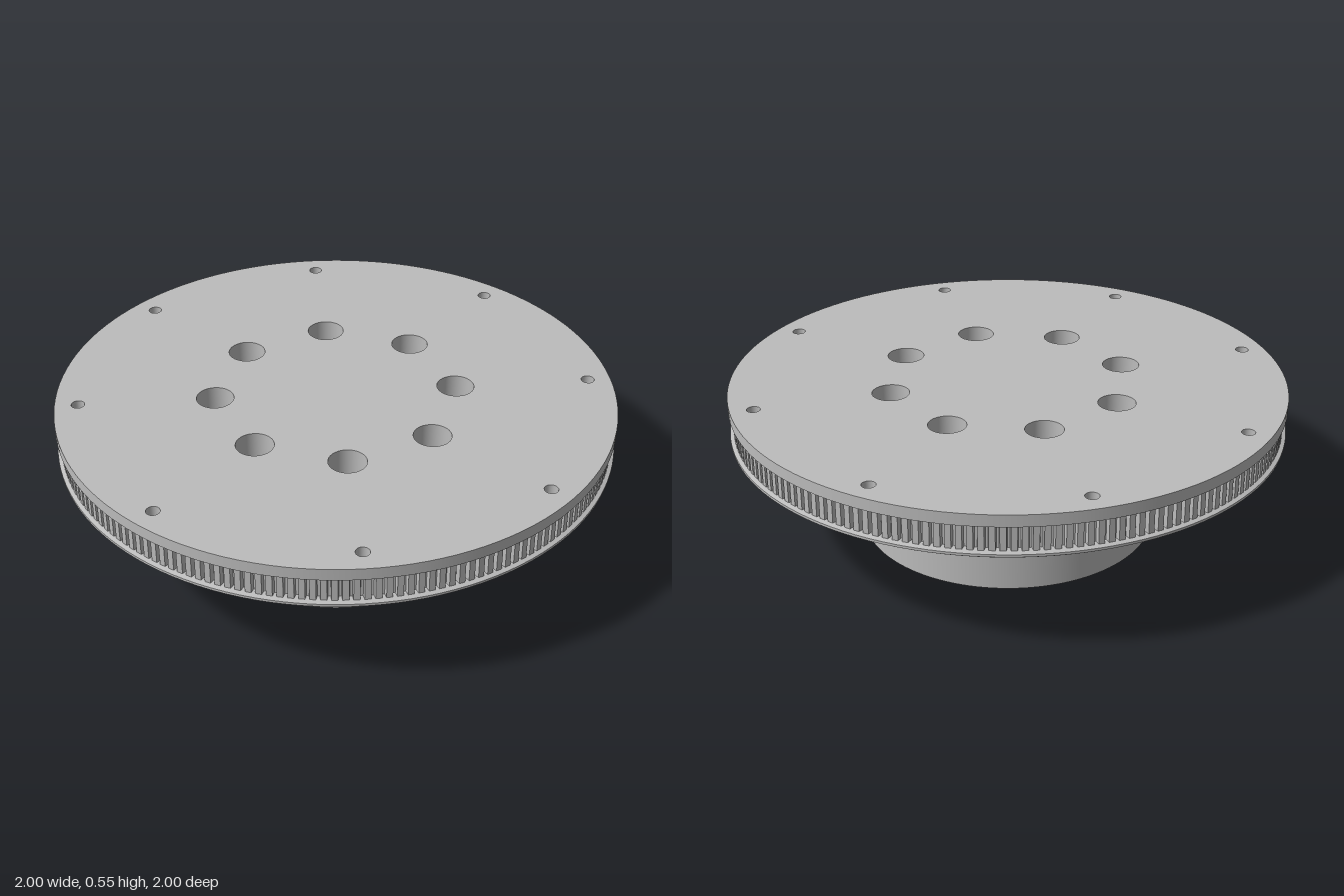
import * as THREE from 'three';
import { mergeGeometries } from 'three/addons/utils/BufferGeometryUtils.js';

const TOP = 0.553, FLANGE = 0.4;
const BOLT = { ring: 0.917, r: 0.024, nut: 0.041, nutTop: 0.47 };
const HUB = { ring: 0.432, r: 0.03, bore: 0.067, boreFloor: 0.27 };

// Eight positions around a bolt circle
const around = (ring) => Array.from({ length: 8 }, (_, i) => {
  const a = (i * Math.PI) / 4;
  return [ring * Math.cos(a), ring * Math.sin(a)];
});

// Regular outline with a corner on the second axis
const outline = (r, n, [cx, cy] = [0, 0]) => Array.from({ length: n }, (_, i) => {
  const a = (i * 2 * Math.PI) / n;
  return new THREE.Vector2(cx + r * Math.sin(a), cy + r * Math.cos(a));
});

// Flat horizontal face with holes, facing up or down
function face(shape, holes, y, up) {
  holes.forEach((h) => shape.holes.push(new THREE.Path(h)));
  return new THREE.ShapeGeometry(shape).rotateX(up ? -Math.PI / 2 : Math.PI / 2).translate(0, y, 0);
}

// Turned surface; each pair of profile points keeps a sharp edge
function turned(profile) {
  const parts = [];
  for (let i = 0; i + 1 < profile.length; i++) {
    const pair = [profile[i], profile[i + 1]].map(([r, y]) => new THREE.Vector2(r, y));
    parts.push(new THREE.LatheGeometry(pair, 128));
  }
  return mergeGeometries(parts);
}

// Open wall of a hole between two heights
function holeWall(r, y0, y1, sides) {
  const g = new THREE.CylinderGeometry(r, r, y1 - y0, sides, 1, true).translate(0, (y0 + y1) / 2, 0);
  if (sides > 6) return g;
  const flat = g.toNonIndexed();
  flat.computeVertexNormals();
  return flat;
}

export function createModel() {
  const model = new THREE.Group();
  const grey = new THREE.MeshStandardMaterial({ color: 0xbcbcbc, side: THREE.DoubleSide });
  grey.name = 'grey';
  const add = (name, geometry, parent = model) => {
    const mesh = new THREE.Mesh(geometry, grey);
    mesh.name = name;
    parent.add(mesh);
    return mesh;
  };

  const bolts = around(BOLT.ring), screws = around(HUB.ring);
  const disc = (r) => new THREE.Shape(outline(r, 128));

  // Top plate with bolt holes and counterbores
  add('topFace', face(disc(1), [
    ...bolts.map((p) => outline(BOLT.r, 24, p)),
    ...screws.map((p) => outline(HUB.bore, 32, p)),
  ], TOP, true));
  add('topRim', turned([[0.965, 0.503], [0.985, 0.503], [1, 0.51], [1, TOP]]));

  // Toothed belt track
  const teeth = 180, tooth = [];
  for (let i = 0; i < teeth; i++) {
    [[0, 0.986], [0.6, 0.986], [0.68, 0.967], [0.92, 0.967]].forEach(([t, r]) => {
      const a = ((i + t) / teeth) * Math.PI * 2;
      tooth.push(new THREE.Vector2(r * Math.cos(a), r * Math.sin(a)));
    });
  }
  const gear = new THREE.Shape(tooth);
  gear.holes.push(new THREE.Path(outline(0.961, 128)));
  add('toothedTrack', new THREE.ExtrudeGeometry(gear, { depth: 0.094, bevelEnabled: false })
    .rotateX(-Math.PI / 2).translate(0, 0.412, 0));

  // Lower belt flange and its underside with nut pockets
  add('lowerFlange', turned([[0.994, FLANGE], [1, 0.404], [1, 0.413], [0.985, 0.419], [0.962, 0.419]]));
  const under = disc(0.994);
  add('flangeUnderside', face(under, [
    outline(0.65, 128), ...bolts.map((p) => outline(BOLT.nut, 6, p)),
  ], FLANGE, false));

  // Stepped hub: spigot, collar and flared neck
  add('hub', turned([
    [0.538, 0], [0.538, 0.263], [0.606, 0.263], [0.613, 0.27], [0.613, 0.365], [0.65, FLANGE],
  ]));
  add('hubBottom', face(disc(0.538), screws.map((p) => outline(HUB.r, 24, p)), 0, false));

  // Bolt holes with hexagonal nut pockets
  bolts.forEach(([x, z]) => {
    const g = new THREE.Group();
    g.name = 'boltHole';
    g.position.set(x, 0, z);
    add('shaft', holeWall(BOLT.r, BOLT.nutTop, TOP, 24), g);
    add('nutPocket', holeWall(BOLT.nut, FLANGE, BOLT.nutTop, 6), g);
    add('pocketRoof', face(new THREE.Shape(outline(BOLT.nut, 6)), [outline(BOLT.r, 24)], BOLT.nutTop, false), g);
    model.add(g);
  });

  // Counterbored screw holes through the hub
  screws.forEach(([x, z]) => {
    const g = new THREE.Group();
    g.name = 'screwHole';
    g.position.set(x, 0, z);
    add('counterbore', holeWall(HUB.bore, HUB.boreFloor, TOP, 32), g);
    add('counterboreFloor', face(new THREE.Shape(outline(HUB.bore, 32)), [outline(HUB.r, 24)], HUB.boreFloor, true), g);
    add('shaft', holeWall(HUB.r, 0, HUB.boreFloor, 24), g);
    model.add(g);
  });

  return model;
}
